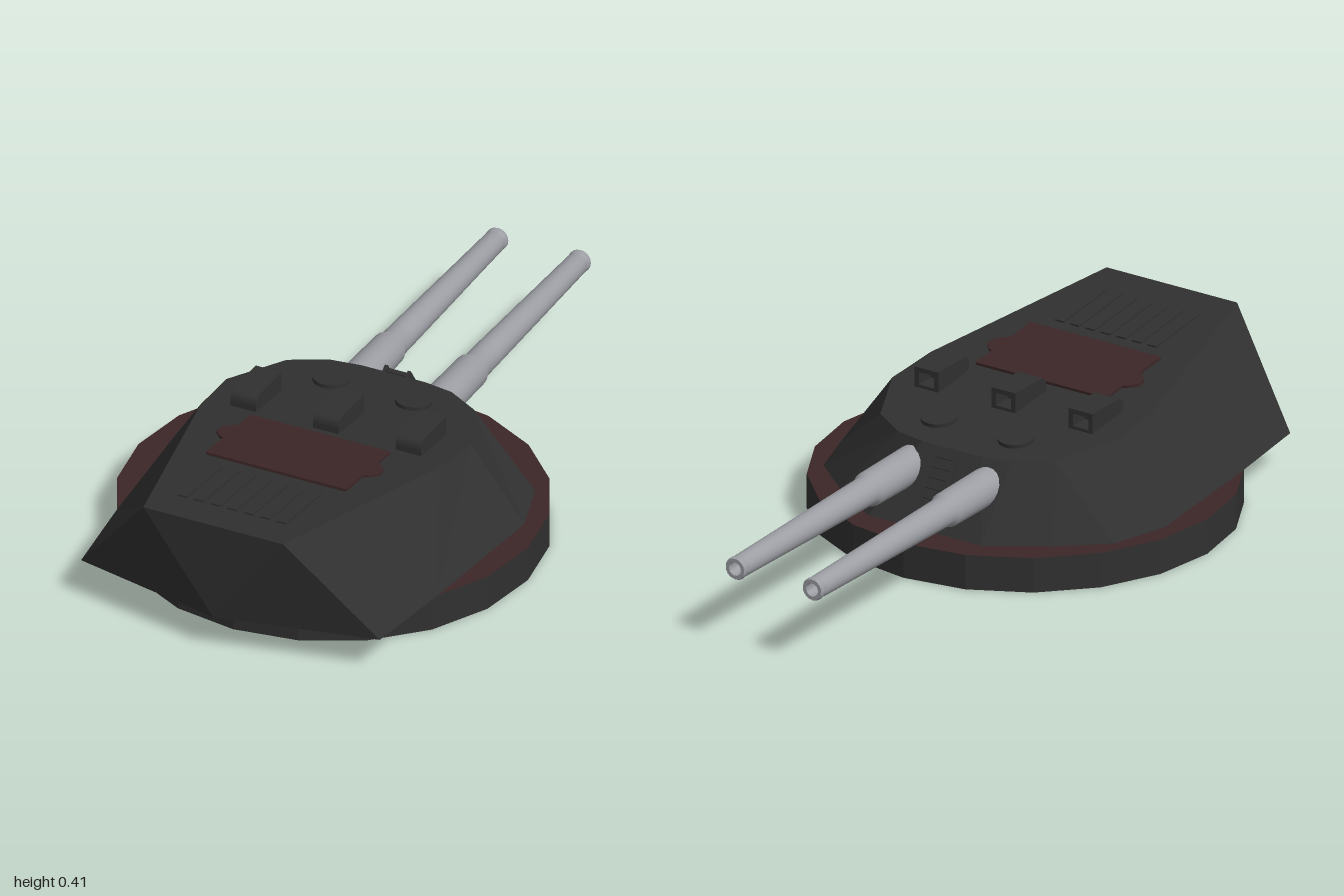
import * as THREE from 'three';
import { toCreasedNormals } from 'three/addons/utils/BufferGeometryUtils.js';

const material = (name, color) => {
  const m = new THREE.MeshStandardMaterial({ color });
  m.name = name;
  return m;
};

export function createModel() {
  const armour = material('dark armour', 0x303030);
  const red = material('dark red deck', 0x3c2627);
  const steel = material('gun steel', 0x9c9ea4);
  const model = new THREE.Group();
  model.name = 'gunTurret';

  const add = (parent, name, geometry, mat, x = 0, y = 0, z = 0) => {
    const mesh = new THREE.Mesh(geometry, mat);
    mesh.name = name;
    mesh.position.set(x, y, z);
    parent.add(mesh);
    return mesh;
  };

  // Ring base: dark rim with red top and bottom
  const base = new THREE.CylinderGeometry(0.613, 0.613, 0.105, 20);
  add(model, 'ringBase', toCreasedNormals(base, 0.1), [armour, red, red], 0, 0.0525, 0.265);

  // Armoured house: matching bottom and roof outlines, from the back round to the gun face
  const roofY = z => 0.315 + 0.09 * z;
  const bottomHalf = [[0, 1], [0.47, 0.895], [0.505, 0.61], [0.545, 0.155], [0.49, -0.02], [0.36, -0.13], [0.19, -0.24]];
  const roofHalf = [[0.22, 1], [0.22, 1], [0.375, 0.345], [0.385, 0.17], [0.295, -0.025], [0.19, -0.09], [0.1, -0.105]];
  const ring = (half, height) => [...half, ...half.map(([x, z]) => [-x, z]).reverse()]
    .map(([x, z]) => [x, height(z), z]);
  const low = ring(bottomHalf, () => 0.105);
  const high = ring(roofHalf, roofY);
  const corners = [];
  low.forEach((b, i) => {
    const j = (i + 1) % low.length;
    corners.push(b, low[j], high[j], b, high[j], high[i]);
    corners.push([0, roofY(0.35), 0.35], high[i], high[j]);
    corners.push([0, 0.105, 0.35], low[j], b);
  });
  const house = new THREE.BufferGeometry();
  house.setAttribute('position', new THREE.Float32BufferAttribute(corners.flat(), 3));
  house.computeVertexNormals();
  add(model, 'armouredHouse', house, armour);

  // Twin guns with a thick sleeve, tapering barrel, muzzle ring and open bore
  const gunProfile = [
    [0, 0], [0.054, 0], [0.051, 0.27], [0.043, 0.285], [0.042, 0.36], [0.033, 0.91],
    [0.031, 0.915], [0.031, 0.92], [0.034, 0.925], [0.034, 0.935], [0.031, 0.94], [0.02, 0.94], [0.019, 0.88], [0, 0.88],
  ].map(([r, l]) => new THREE.Vector2(r, l));
  const gun = toCreasedNormals(new THREE.LatheGeometry(gunProfile, 20), 0.6);
  for (const side of [-1, 1]) {
    const mesh = add(model, side > 0 ? 'leftGun' : 'rightGun', gun, steel, side * 0.13, 0.232, -0.06);
    mesh.rotation.x = -Math.PI / 2;
  }

  // Ladder on the sloping gun face
  const ladder = new THREE.Group();
  ladder.name = 'ladder';
  ladder.position.set(0, 0.212, -0.183);
  ladder.rotation.x = Math.atan2(0.135, 0.2);
  model.add(ladder);
  for (const side of [-1, 1]) {
    add(ladder, 'ladderRail', new THREE.BoxGeometry(0.01, 0.22, 0.025), armour, side * 0.036, 0, 0);
  }
  for (let i = 0; i < 7; i++) {
    add(ladder, 'ladderRung', new THREE.BoxGeometry(0.065, 0.008, 0.012), armour, 0, -0.09 + i * 0.03, -0.006);
  }

  // Sloping frame for the details lying on the roof
  const roof = new THREE.Group();
  roof.name = 'roofDetails';
  roof.position.y = 0.315;
  roof.rotation.x = -Math.atan(0.09);
  model.add(roof);

  // Red access plate with lugs on both sides
  const half = [[0.22, 0.345], [0.22, 0.425], [0.235, 0.432], [0.255, 0.455], [0.255, 0.485], [0.235, 0.508], [0.22, 0.515], [0.22, 0.62]];
  const outline = [...half, ...half.map(([x, z]) => [-x, z]).reverse()];
  const plateShape = new THREE.Shape(outline.map(([x, z]) => new THREE.Vector2(x, -z)));
  const plate = new THREE.ExtrudeGeometry(plateShape, { depth: 0.008, bevelEnabled: false }).rotateX(-Math.PI / 2);
  add(roof, 'accessPlate', plate, red);

  // Vent slats behind the plate
  for (let i = 0; i < 7; i++) {
    add(roof, 'ventSlat', new THREE.BoxGeometry(0.03, 0.006, 0.22), armour, (i - 3) * 0.052, 0.002, 0.78);
  }

  // Round hatches above the guns
  for (const side of [-1, 1]) {
    add(roof, 'roundHatch', new THREE.CylinderGeometry(0.052, 0.052, 0.016, 24), armour, side * 0.13, 0.003, 0.025);
  }

  // Sighting hoods: square opening towards the guns, rounded at the back
  const hoodFrame = new THREE.Shape().moveTo(-0.04, 0.31).lineTo(0.04, 0.31).lineTo(0.04, 0.39).lineTo(-0.04, 0.39);
  hoodFrame.holes.push(new THREE.Path().moveTo(-0.026, 0.338).lineTo(-0.026, 0.376).lineTo(0.026, 0.376).lineTo(0.026, 0.338));
  const hoodFront = new THREE.ExtrudeGeometry(hoodFrame, { depth: 0.06, bevelEnabled: false });
  const hoodSide = new THREE.Shape().moveTo(0, 0.31).lineTo(0.095, 0.31).lineTo(0.095, 0.355)
    .quadraticCurveTo(0.095, 0.39, 0.06, 0.39).lineTo(0, 0.39);
  const hoodBack = new THREE.ExtrudeGeometry(hoodSide, { depth: 0.08, bevelEnabled: false, curveSegments: 8 })
    .rotateY(-Math.PI / 2);
  for (const x of [-0.26, 0, 0.26]) {
    add(model, 'sightHoodOpening', hoodFront, armour, x, 0, 0.155);
    add(model, 'sightHoodBack', hoodBack, armour, x + 0.04, 0, 0.215);
  }

  return model;
}
